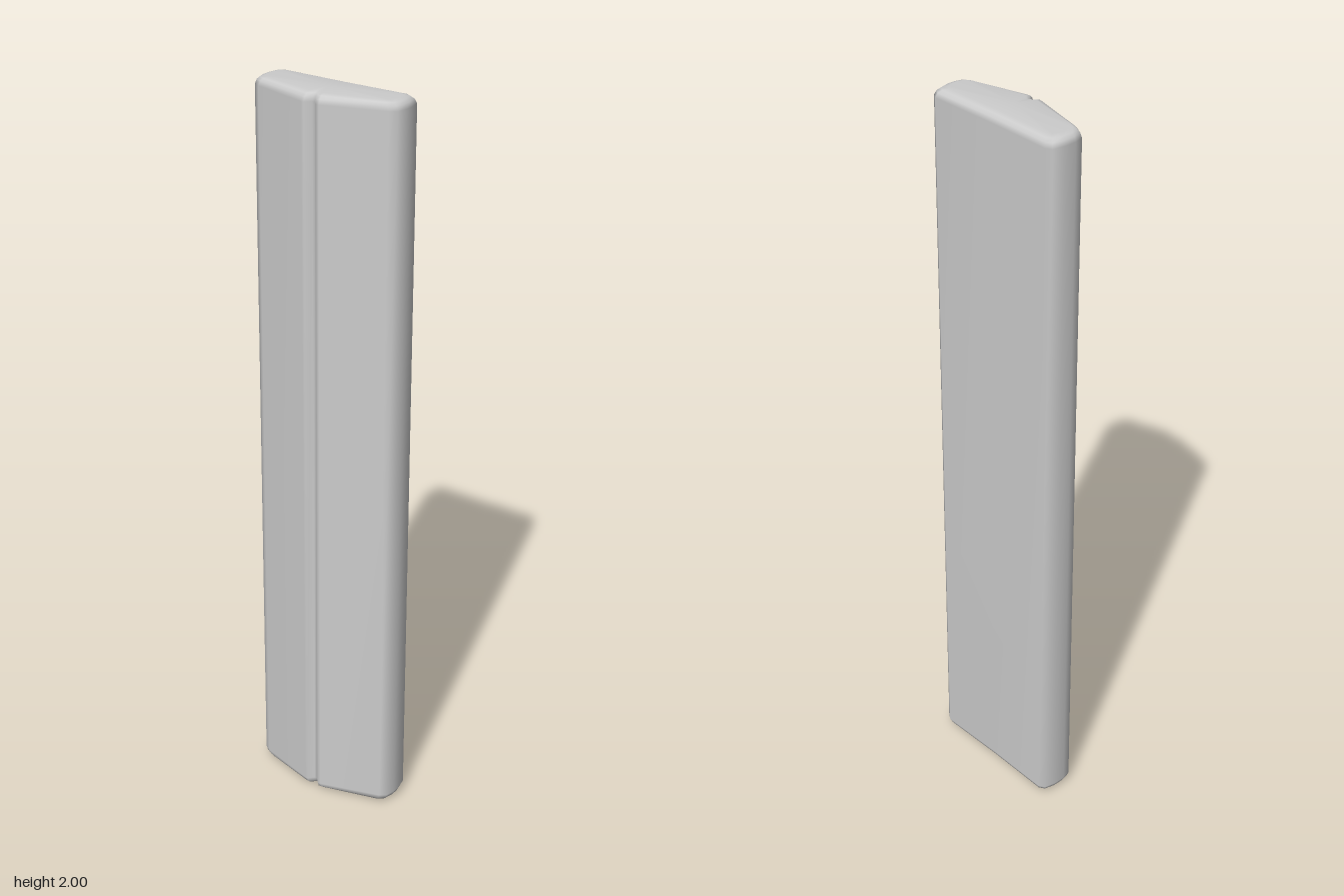
import * as THREE from 'three';

// Horizontal cross-section [x, z]: shallow wedge front with a central groove, softened sides
const section = [
  [-0.213, -0.005], [-0.207, 0.02], [-0.188, 0.031], [-0.026, 0.077], [-0.018, 0.078],
  [-0.004, 0.062], [0.004, 0.062],
  [0.018, 0.078], [0.026, 0.077], [0.19, 0.025], [0.207, 0.012], [0.213, -0.015],
  [0.213, -0.038], [0.206, -0.07], [0.19, -0.08], [0, -0.077],
  [-0.19, -0.08], [-0.206, -0.07], [-0.213, -0.038],
];

// Rounded ends: [height from the end, inset]
const endRings = [[0.002, 0.026], [0.006, 0.013], [0.013, 0.005], [0.025, 0]];

function createBarGeometry(height) {
  const rings = [
    ...endRings,
    ...endRings.slice().reverse().map(([y, inset]) => [height - y, inset]),
  ];
  const n = section.length;
  const positions = [];
  const index = [];
  for (const [y, inset] of rings) {
    const sx = 1 - inset / 0.213;
    const sz = 1 - inset / 0.08;
    for (const [x, z] of section) positions.push(x * sx, y, z * sz);
  }
  const bottom = rings.length * n;
  const top = bottom + 1;
  positions.push(0, 0, 0, 0, height, 0);

  for (let i = 0; i < n; i++) {
    const k = (i + 1) % n;
    // Walls between neighbouring rings
    for (let j = 0; j < rings.length - 1; j++) {
      const a = j * n + i, b = j * n + k;
      index.push(a, b, b + n, a, b + n, a + n);
    }
    // End caps
    const last = (rings.length - 1) * n;
    index.push(bottom, k, i, top, last + i, last + k);
  }
  const geometry = new THREE.BufferGeometry();
  geometry.setAttribute('position', new THREE.Float32BufferAttribute(positions, 3));
  geometry.setIndex(index);
  geometry.computeVertexNormals();
  return geometry;
}

export function createModel() {
  const group = new THREE.Group();
  group.name = 'groovedBar';
  const bar = new THREE.Mesh(
    createBarGeometry(2),
    new THREE.MeshStandardMaterial({ color: 0xcccccc }),
  );
  bar.name = 'barBody';
  group.add(bar);
  return group;
}
